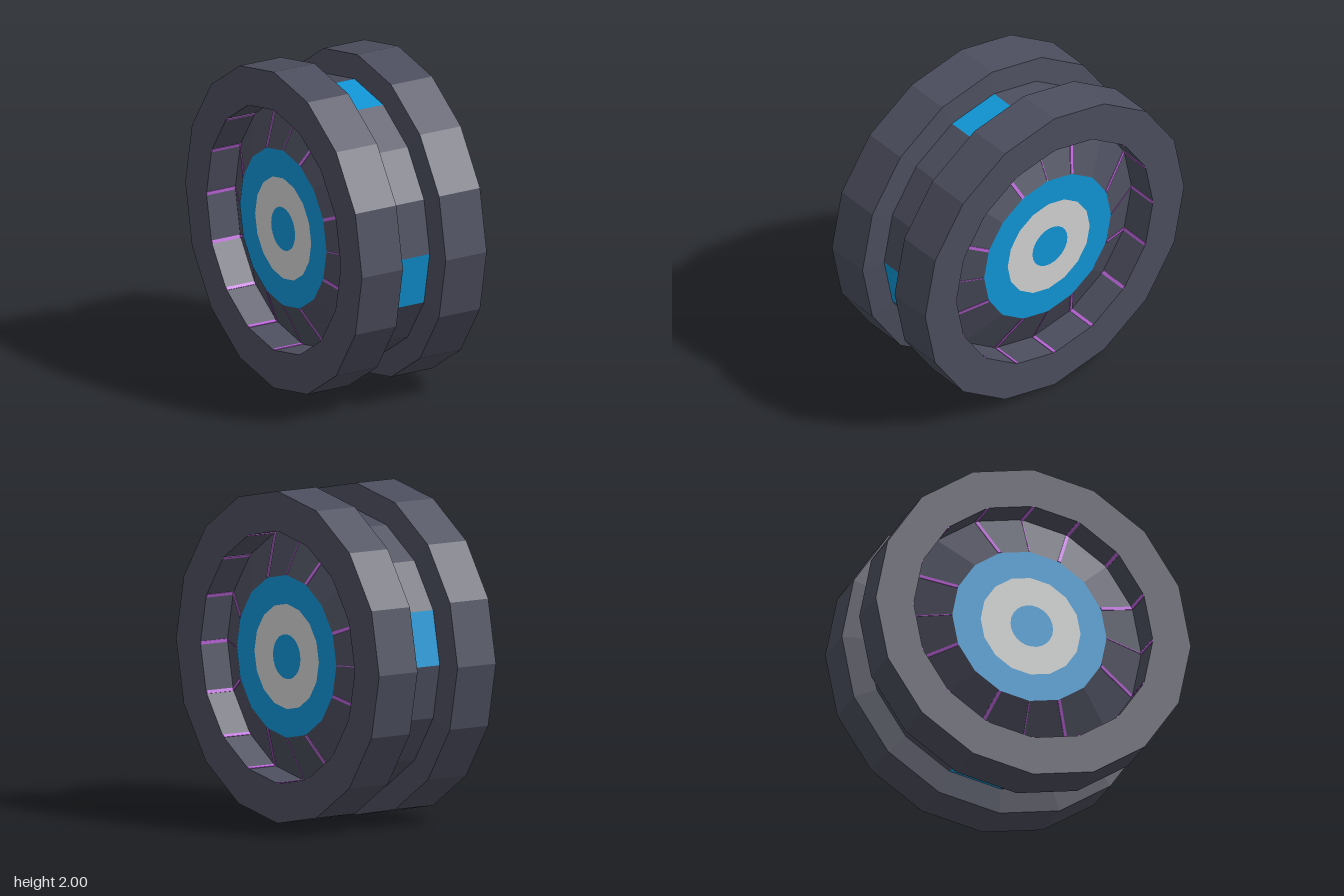
import * as THREE from 'three';

const SIDES = 16;
const STEP = (Math.PI * 2) / SIDES;

const mat = (name, color) => new THREE.MeshStandardMaterial({ name, color, flatShading: true });

export function createModel() {
  const dark = mat('slate', 0x4c4e5e);
  const blue = mat('blue', 0x1095d5);
  const pale = mat('pale grey', 0xd0d2d1);
  const violet = mat('violet', 0xb862d6);

  const wheel = new THREE.Group();
  wheel.name = 'wheel';

  const add = (parent, name, geometry, material) => {
    const mesh = new THREE.Mesh(geometry, material);
    mesh.name = name;
    parent.add(mesh);
    return mesh;
  };

  // Faceted surface turned around the x axle; profile is [radius, x]
  const turned = (profile, segments = SIDES, start = 0) =>
    new THREE.LatheGeometry(
      profile.map(([r, x]) => new THREE.Vector2(r, x)), segments, start * STEP, segments * STEP
    ).rotateZ(-Math.PI / 2);

  // Sunken band around the middle, one blue panel per quarter turn
  const band = [[0.85, -0.13], [0.85, 0.13]];
  for (let q = 0; q < 4; q++) {
    add(wheel, 'bandPanel', turned(band, 1, q * 4), blue);
    add(wheel, 'band', turned(band, 3, q * 4 + 1), dark);
  }

  // One side: tread, rim face, recess wall, cone, hub and light strips
  const makeSide = (name) => {
    const side = new THREE.Group();
    side.name = name;
    add(side, 'tread', turned([[0.85, 0.13], [1, 0.15], [1, 0.437], [0.76, 0.437]]), dark);
    add(side, 'recess', turned([[0.76, 0.437], [0.76, 0.235], [0.49, 0.37]]), dark);

    // Concentric hub plates
    const plate = (plateName, radius, segments, x, z, material) =>
      add(side, plateName, new THREE.CircleGeometry(radius, segments).rotateY(Math.PI / 2), material)
        .position.set(x, 0, z);
    plate('hubPlate', 0.49, SIDES, 0.37, 0, blue);
    plate('hubRing', 0.317, SIDES, 0.374, -0.006, pale);
    plate('hubCap', 0.135, 24, 0.378, -0.012, blue);

    // Thin strips along the recess corners
    for (let k = 0; k < SIDES; k++) {
      const spoke = new THREE.Group();
      spoke.name = 'lightStrip';
      spoke.rotation.x = k * STEP;
      add(spoke, 'wallStrip', new THREE.BoxGeometry(0.2, 0.006, 0.02), violet)
        .position.set(0.336, 0.757, 0);
      if (k % 4 !== 2) {
        const width = k % 2 ? 0.02 : 0.006;
        const strip = add(spoke, 'coneStrip', new THREE.BoxGeometry(0.3, 0.006, width), violet);
        strip.position.set(0.3025, 0.625, 0);
        strip.rotation.z = Math.atan2(-0.27, 0.135);
      }
      side.add(spoke);
    }
    return side;
  };

  const left = makeSide('leftSide');
  const right = makeSide('rightSide');
  right.rotation.y = Math.PI;
  wheel.add(left, right);

  wheel.position.y = 1;
  const model = new THREE.Group();
  model.name = 'model';
  model.add(wheel);
  return model;
}
